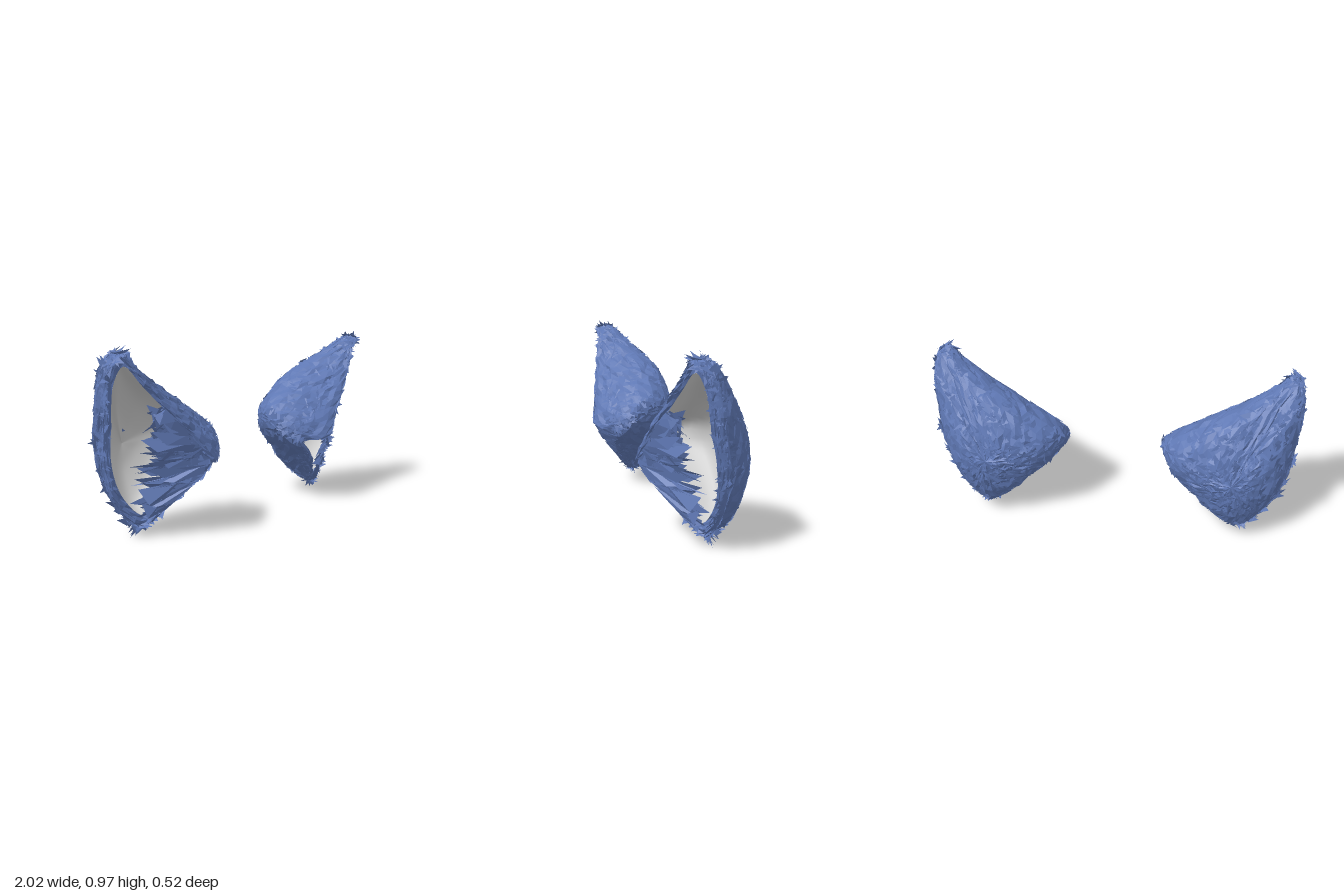
import * as THREE from 'three';

const V = (x, y, z) => new THREE.Vector3(x, y, z);
const furMat = new THREE.MeshStandardMaterial({ color: 0x5f78b4, flatShading: true, side: THREE.DoubleSide });
const skinMat = new THREE.MeshStandardMaterial({ color: 0xcccccc, side: THREE.DoubleSide });

// Small seeded random
function seeded(s) {
  return () => ((s = (s * 16807) % 2147483647) - 1) / 2147483646;
}

// Cross-sections of one ear, each running tip > outer edge > bottom > inner edge
const rim = [
  V(.94, .885, .10), V(.975, .80, .06), V(.965, .58, .02), V(.925, .33, -.03), V(.84, .14, -.04),
  V(.71, .02, -.01), V(.61, .10, .05), V(.49, .21, .12), V(.37, .315, .15), V(.475, .35, .25),
  V(.60, .50, .225), V(.73, .64, .19), V(.86, .785, .145)];
const widest = [
  V(.94, .895, .07), V(.98, .84, .02), V(.98, .60, -.03), V(.935, .34, -.07), V(.85, .15, -.07),
  V(.71, .01, -.05), V(.59, .10, -.02), V(.45, .22, .02), V(.28, .37, .06), V(.27, .475, .02),
  V(.42, .59, .01), V(.58, .69, .00), V(.82, .82, .045)];
const back = [
  V(.92, .86, .01), V(.94, .78, -.05), V(.92, .58, -.12), V(.88, .36, -.16), V(.81, .18, -.16),
  V(.70, .07, -.15), V(.58, .13, -.15), V(.46, .25, -.15), V(.34, .39, -.14), V(.355, .49, -.15),
  V(.47, .59, -.155), V(.61, .685, -.14), V(.80, .79, -.055)];
const pole = V(.66, .40, -.255), heart = V(.68, .42, 0);
const shrink = (ring, k) => ring.map(p => p.clone().sub(heart).multiplyScalar(k).add(heart));
const lip = shrink(rim, .88);
const front = rim.map((p, i) => p.clone().lerp(widest[i], .5).multiply(V(1, 1, 1.25)));
const dome = back.map(p => p.clone().lerp(pole, .5).add(V(0, 0, -.025)));
const poleRing = back.map(() => pole.clone());

// Smooth surface P(u, v) through a stack of closed rings
function loft(rings) {
  const curves = rings.map(r => new THREE.CatmullRomCurve3(r, true));
  return u => {
    const column = new THREE.CatmullRomCurve3(curves.map(c => c.getPoint(((u % 1) + 1) % 1)), false, 'catmullrom', .5);
    return v => column.getPoint(v);
  };
}

// Grid geometry over a loft, with optional roughness
function gridGeometry(surface, nu, nv, flip, rough = 0, rnd) {
  const pos = [], idx = [];
  for (let i = 0; i < nu; i++) {
    const column = surface(i / nu);
    for (let j = 0; j <= nv; j++) {
      const p = column(j / nv);
      if (rough && j > 0 && j < nv) p.add(V(rnd() - .5, rnd() - .5, rnd() - .5).multiplyScalar(rough));
      pos.push(p.x, p.y, p.z);
      if (j === nv) continue;
      const a = i * (nv + 1) + j, b = ((i + 1) % nu) * (nv + 1) + j;
      if (flip) idx.push(a, a + 1, b, b, a + 1, b + 1);
      else idx.push(a, b, a + 1, b, b + 1, a + 1);
    }
  }
  const g = new THREE.BufferGeometry();
  g.setAttribute('position', new THREE.Float32BufferAttribute(pos, 3));
  g.setIndex(idx);
  g.computeVertexNormals();
  return g;
}

function triangles(points) {
  const g = new THREE.BufferGeometry().setFromPoints(points);
  g.computeVertexNormals();
  return g;
}

// Ragged shards lying over the outer shell, bent down to follow its curve
function shards(surface, count, rnd) {
  const out = [];
  for (let i = 0; i < count; i++) {
    const u = rnd(), v = .27 + .67 * rnd() ** 1.5;
    const column = surface(u), p = column(v);
    const du = surface(u + .01)(v).sub(p).normalize();
    const dv = column(v + .01).sub(p).normalize();
    const n = du.clone().cross(dv).normalize();
    const angle = rnd() * Math.PI * 2;
    const along = du.clone().multiplyScalar(Math.cos(angle)).addScaledVector(dv, Math.sin(angle)).normalize();
    const side = n.clone().cross(along);
    const len = .035 + .035 * rnd(), w = .012 + .014 * rnd();
    out.push(
      p.clone().addScaledVector(side, -w).addScaledVector(n, -.006),
      p.clone().addScaledVector(side, w).addScaledVector(n, .004),
      p.clone().addScaledVector(along, len).addScaledVector(n, .012 * rnd() - len * len * 2.5));
  }
  return triangles(out);
}

// Crumpled layered blades rooted on the inner edge, sweeping across the opening
function tuft(count, rnd) {
  const roots = new THREE.CatmullRomCurve3([V(.72, .63, .18), V(.60, .50, .225), V(.50, .38, .25), V(.49, .31, .24), V(.56, .21, .16), V(.66, .08, .05)]);
  const tips = new THREE.CatmullRomCurve3([V(.77, .63, .11), V(.77, .50, .08), V(.81, .38, .03), V(.78, .26, .00), V(.77, .15, -.02), V(.70, .04, -.01)]);
  const jitter = k => V(rnd() - .5, rnd() - .5, rnd() - .5).multiplyScalar(k);
  const at = (t, reach) => {
    const k = Math.min(1, Math.max(0, t));
    return roots.getPoint(k).lerp(tips.getPoint(k), reach);
  };
  const out = [];
  for (let i = 0; i < count; i++) {
    const t = (i + rnd()) / count, w = .03 + .05 * rnd();
    const start = .45 * rnd() ** 2, reach = .65 + .4 * rnd();
    const a = at(t - w, start).add(jitter(.02)), b = at(t + w, start).add(jitter(.02));
    const side = at(t + w * .8, start + (reach - start) * .6).add(jitter(.06));
    const tip = at(t + (rnd() - .5) * .25, reach).add(jitter(.04));
    out.push(a, b, side, a.clone(), side.clone(), tip);
  }
  return triangles(out);
}

function makeEar(name) {
  const rnd = seeded(4217);
  const ear = new THREE.Group();
  ear.name = name;
  const add = (part, geometry, material) => {
    const mesh = new THREE.Mesh(geometry, material);
    mesh.name = part;
    ear.add(mesh);
  };
  const shell = loft([lip, rim, front, widest, back, dome, poleRing]);
  const bowl = loft([lip, shrink(widest, .88), shrink(back, .85), shrink(dome, .86), shrink(poleRing, .86)]);
  add('outerShell', gridGeometry(shell, 56, 26, false, .016, rnd), furMat);
  add('innerSkin', gridGeometry(bowl, 52, 20, true), skinMat);
  add('outerFur', shards(shell, 1100, rnd), furMat);
  add('innerTuft', tuft(90, rnd), furMat);
  return ear;
}

export function createModel() {
  const model = new THREE.Group();
  model.name = 'furryEars';
  const left = makeEar('leftEar');
  const right = makeEar('rightEar');
  right.scale.x = -1;
  model.add(left, right);
  return model;
}
